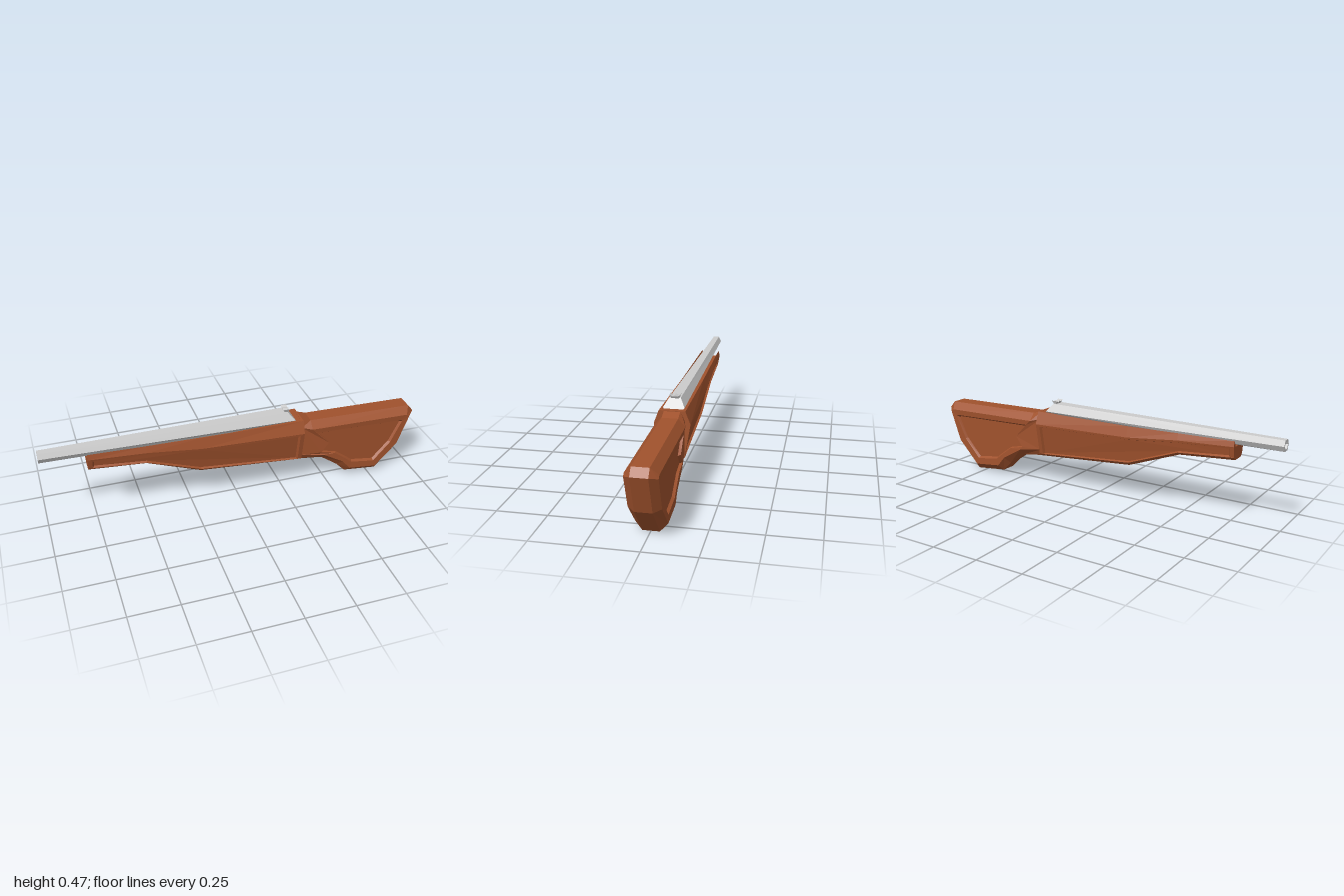
import * as THREE from 'three';

const wood = new THREE.MeshStandardMaterial({ color: 0xa0522d, flatShading: true });
const metal = new THREE.MeshStandardMaterial({ color: 0xcccccc, flatShading: true });

// Skins a series of counter-clockwise rings that advance along z, closing both ends
function skin(rings) {
  const n = rings[0].length, pos = [];
  const tri = (a, b, c) => pos.push(...a, ...b, ...c);
  for (let r = 0; r < rings.length - 1; r++) {
    const a = rings[r], b = rings[r + 1];
    for (let i = 0; i < n; i++) {
      const j = (i + 1) % n;
      tri(a[i], a[j], b[j]);
      tri(a[i], b[j], b[i]);
    }
  }
  const cap = (ring, flip) => {
    const flat = ring.map(p => new THREE.Vector2(p[0], p[1]));
    for (const [a, b, c] of THREE.ShapeUtils.triangulateShape(flat, [])) {
      if (flip) tri(ring[c], ring[b], ring[a]);
      else tri(ring[a], ring[b], ring[c]);
    }
  };
  cap(rings[0], true);
  cap(rings[rings.length - 1], false);
  const geo = new THREE.BufferGeometry();
  geo.setAttribute('position', new THREE.Float32BufferAttribute(pos, 3));
  geo.computeVertexNormals();
  return geo;
}

// Mirrors rings of the +z half so that the solid is symmetric
function mirrored(rings) {
  const back = rings.map(r => r.map(([x, y, z]) => [x, y, -z])).reverse();
  return skin([...back, ...rings]);
}

function add(group, name, geo, mat) {
  const mesh = new THREE.Mesh(geo, mat);
  mesh.name = name;
  group.add(mesh);
  return mesh;
}

// Fore stock: stations along x, each with bottom, ridge and top heights
function foreStock() {
  const stations = [
    { x: -0.77, bottom: 0.32, ridge: 0.39, top: 0.417, drop: 0.03 },
    { x: -0.48, bottom: 0.298, ridge: 0.378, top: 0.411, drop: 0.03 },
    { x: -0.2, bottom: 0.195, ridge: 0.35, top: 0.405, drop: 0.03 },
    { x: 0.35, bottom: 0.153, ridge: 0.34, top: 0.405, drop: 0 },
  ];
  const t = x => (x + 0.77) / 1.12;
  const lerp = THREE.MathUtils.lerp;
  const side = (s, y) => lerp(0.057, 0.09, t(s.x)) - 0.17 * (s.ridge - y);
  const ring = (low, high) => [...stations.map(low), ...stations.map(high).reverse()];
  // Recessed panel: pulled in from the outline on all sides
  const panel = (inset, depth) => {
    const px = s => s.x + (s.x < -0.7 ? inset : s.x > 0.3 ? -inset : 0);
    const at = (s, y) => [px(s), y, side(s, y) - depth];
    return ring(s => at(s, s.bottom + inset * 0.7), s => at(s, s.ridge - inset * 0.5));
  };
  return mirrored([
    // barrel channel, top rim, ridge, panel frame, panel floor
    ring(s => [s.x, s.bottom, 0.025], s => [s.x, s.top - s.drop, lerp(0.034, 0.05, t(s.x))]),
    ring(s => [s.x, s.bottom, lerp(0.032, 0.042, t(s.x))], s => [s.x, s.top, lerp(0.05, 0.065, t(s.x))]),
    ring(s => [s.x, s.bottom + 0.015, side(s, s.bottom + 0.015)], s => [s.x, s.ridge, side(s, s.ridge)]),
    panel(0.022, 0),
    panel(0.03, 0.011),
  ]);
}

// Butt stock: chamfered outline with a recessed side panel
function buttStock() {
  const edge = [[0.34, 0.155], [0.475, 0.137], [0.57, 0.07], [0.62, 0.02], [0.805, 0],
    [0.935, 0.15], [1, 0.336], [0.97, 0.372], [0.4, 0.385], [0.34, 0.405]];
  const face = [[0.345, 0.19], [0.475, 0.172], [0.59, 0.105], [0.635, 0.052], [0.79, 0.035],
    [0.908, 0.16], [0.965, 0.322], [0.95, 0.335], [0.4, 0.347], [0.345, 0.36]];
  const panel = [[0.46, 0.19], [0.54, 0.17], [0.6, 0.125], [0.643, 0.09], [0.777, 0.07],
    [0.87, 0.175], [0.927, 0.3], [0.918, 0.306], [0.43, 0.32], [0.5, 0.245]];
  const atZ = (pts, z) => pts.map(([x, y]) => [x, y, z]);
  const floor = panel.map(([x, y]) => [0.7 + (x - 0.7) * 0.95, 0.2 + (y - 0.2) * 0.92]);
  return mirrored([
    atZ(edge, 0.04),
    face.map(([x, y]) => [x, y, x < 0.35 ? 0.06 : 0.075]),
    atZ(panel, 0.073),
    atZ(floor, 0.06),
  ]);
}

// Six-sided tube with a hollow mouth and a sloping rear end
function barrel() {
  const hex = (half, low, mid, high, ends) => [
    [-half * 0.53, low, ends[0]], [half * 0.53, low, ends[0]], [half, mid, ends[1]],
    [half * 0.53, high, ends[2]], [-half * 0.53, high, ends[2]], [-half, mid, ends[1]]];
  const flat = x => [x, x, x];
  return skin([
    hex(0.02, 0.404, 0.4225, 0.441, flat(-0.9)),
    hex(0.02, 0.404, 0.4225, 0.441, flat(-1)),
    hex(0.03, 0.395, 0.4225, 0.449, flat(-1)),
    hex(0.053, 0.38, 0.408, 0.449, [0.335, 0.31, 0.275]),
  ]);
}

// Notched rear sight on a narrow foot
function sight() {
  const outline = [[-0.02, 0.445], [0.02, 0.445], [0.027, 0.465], [0.014, 0.457],
    [0, 0.463], [-0.014, 0.457], [-0.027, 0.465]];
  const shape = new THREE.Shape(outline.map(p => new THREE.Vector2(...p)));
  const geo = new THREE.ExtrudeGeometry(shape, { depth: 0.022, bevelEnabled: false });
  // Flare the upper part forwards and backwards
  const p = geo.attributes.position;
  for (let i = 0; i < p.count; i++) {
    const flare = p.getY(i) > 0.45 ? 1.4 : 0.7;
    p.setZ(i, 0.27 + (p.getZ(i) - 0.011) * flare);
  }
  geo.computeVertexNormals();
  return geo;
}

export function createModel() {
  const model = new THREE.Group();
  model.name = 'longGun';
  add(model, 'foreStock', foreStock(), wood);
  add(model, 'buttStock', buttStock(), wood);
  // Parts shaped along z are turned to run along x
  add(model, 'barrel', barrel(), metal).rotation.y = Math.PI / 2;
  add(model, 'rearSight', sight(), metal).rotation.y = Math.PI / 2;
  return model;
}
